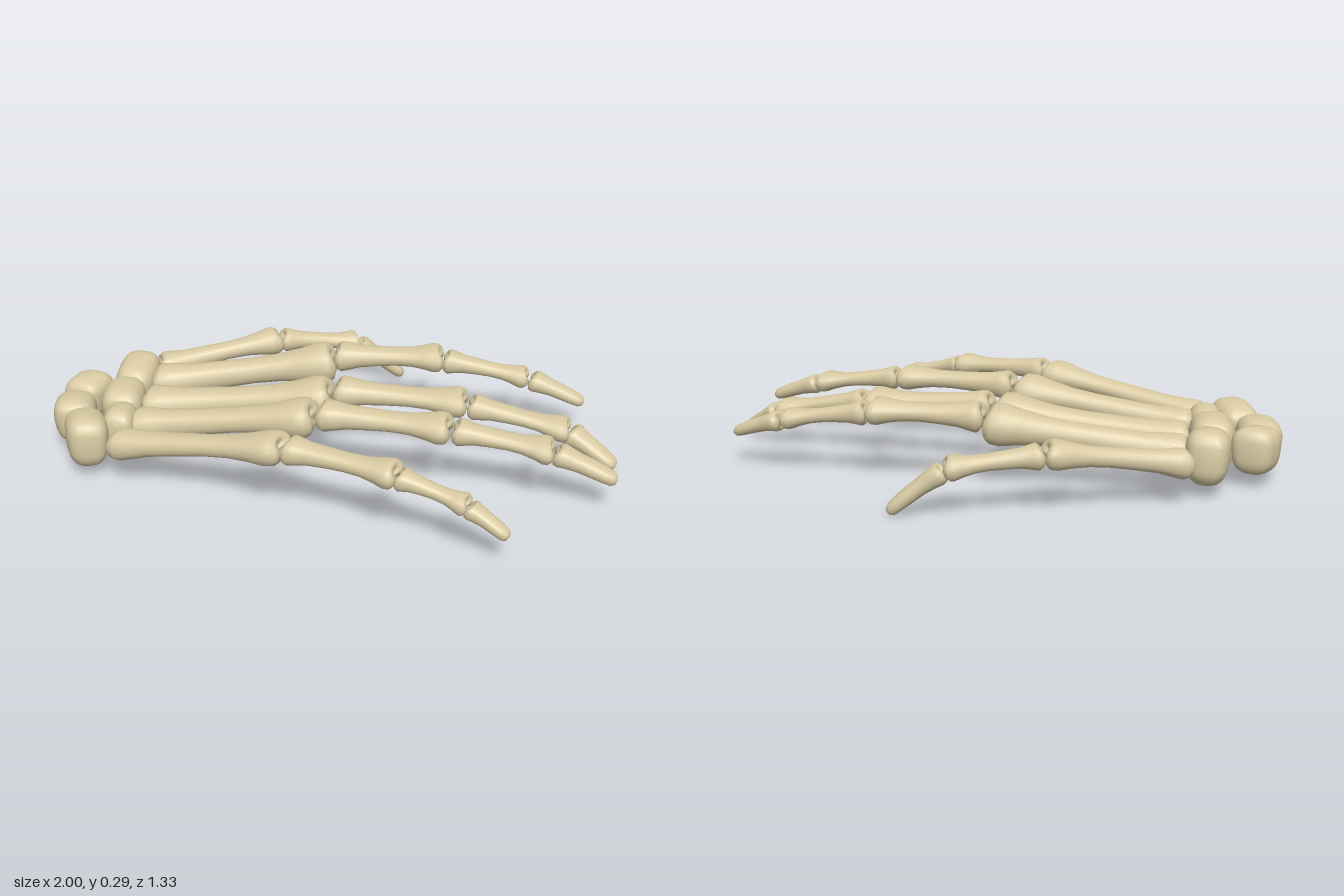
import * as THREE from 'three';

const bone = new THREE.MeshStandardMaterial({ color: 0xd9cba3, roughness: 0.8 });
const SIDES = 18;

// [position along bone, share of base width, share of head width, flatness pull of the notch]
const LONG = [
  [0.035, 0, 0, 1], [0.0, 0.62, 0, 1], [0.012, 0.88, 0, 0.8], [0.05, 1, 0, 0.3], [0.11, 0.93, 0, 0],
  [0.22, 0.7, 0.06, 0], [0.38, 0.42, 0.27, 0], [0.55, 0.22, 0.42, 0], [0.7, 0.08, 0.6, 0], [0.82, 0, 0.83, 0],
  [0.91, 0, 1, 0], [0.965, 0, 0.97, -0.4], [0.992, 0, 0.83, -0.8], [1.0, 0, 0.55, -1], [0.965, 0, 0, -1],
];
const TIP = [
  [0.04, 0, 0, 0.6], [0.0, 0.62, 0, 0.6], [0.03, 0.92, 0, 0.4], [0.1, 1, 0, 0], [0.22, 0.88, 0, 0],
  [0.4, 0.5, 0.4, 0], [0.6, 0.2, 0.8, 0], [0.8, 0, 1, 0], [0.92, 0, 0.88, 0], [0.98, 0, 0.55, 0], [1, 0, 0, 0],
];

// Lofts elliptical sections from a to b; the ends are notched between two condyles
function makeBone(name, profile, a, b, baseW, headW, baseH, headH, bow = 0.004) {
  const p0 = new THREE.Vector3(...a), p1 = new THREE.Vector3(...b);
  const dir = p1.clone().sub(p0), len = dir.length();
  dir.normalize();
  const side = new THREE.Vector3(0, 1, 0).cross(dir).normalize();
  const up = dir.clone().cross(side);
  const pos = [], index = [];
  profile.forEach(([t, kb, kh, notch], i) => {
    const w = kb * baseW + kh * headW, h = kb * baseH + kh * headH;
    for (let j = 0; j < SIDES; j++) {
      const q = (j / SIDES) * Math.PI * 2, c = Math.cos(q), s = Math.sin(q);
      const shift = notch * 0.014 * (1 - 1.3 * c * c);
      const v = p0.clone().addScaledVector(dir, t * len + shift)
        .addScaledVector(side, w * Math.sign(c) * Math.abs(c) ** 0.85)
        .addScaledVector(up, h * Math.sign(s) * Math.abs(s) ** 0.85 + bow * Math.sin(Math.PI * t));
      pos.push(v.x, v.y, v.z);
      if (i) {
        const k = (j + 1) % SIDES, lo = (i - 1) * SIDES, hi = i * SIDES;
        index.push(lo + j, lo + k, hi + j, lo + k, hi + k, hi + j);
      }
    }
  });
  const g = new THREE.BufferGeometry();
  g.setAttribute('position', new THREE.Float32BufferAttribute(pos, 3));
  g.setIndex(index);
  g.computeVertexNormals();
  const m = new THREE.Mesh(g, bone);
  m.name = name;
  return m;
}

// Blocky pebble: a sphere squared off, with a tapered underside and a slight skew
function makeCarpal(name, [x, y, z], [hx, hy, hz], turn, tilt, skew) {
  const g = new THREE.SphereGeometry(1, 20, 14);
  const p = g.attributes.position;
  const sq = (v) => Math.sign(v) * Math.abs(v) ** 0.62;
  for (let i = 0; i < p.count; i++) {
    const X = sq(p.getX(i)), Y = sq(p.getY(i)), Z = sq(p.getZ(i));
    const taper = 0.92 + 0.08 * Y;
    p.setXYZ(i, hx * (X * taper + skew * Z), hy * Y * (1 - 0.12 * X * X), hz * Z * taper);
  }
  g.computeVertexNormals();
  const m = new THREE.Mesh(g, bone);
  m.name = name;
  m.position.set(x, y, z);
  m.rotation.set(tilt, turn, 0);
  return m;
}

// Every bone: start, end, half widths at base and head, half heights at base and head
const DIGITS = {
  thumb: [
    [[-0.73, 0.155, -0.26], [-0.3, 0.215, -0.475], 0.058, 0.066, 0.05, 0.048],
    [[-0.3, 0.21, -0.48], [-0.01, 0.175, -0.595], 0.055, 0.055, 0.042, 0.04],
    [[-0.01, 0.17, -0.592], [0.165, 0.03, -0.635], 0.05, 0.036, 0.036, 0.024],
  ],
  indexFinger: [
    [[-0.71, 0.145, -0.135], [-0.04, 0.24, -0.255], 0.075, 0.09, 0.068, 0.07],
    [[-0.04, 0.258, -0.262], [0.355, 0.265, -0.305], 0.064, 0.076, 0.052, 0.046],
    [[0.36, 0.255, -0.305], [0.67, 0.21, -0.307], 0.052, 0.056, 0.042, 0.036],
    [[0.68, 0.205, -0.308], [0.88, 0.14, -0.28], 0.05, 0.033, 0.036, 0.022],
  ],
  middleFinger: [
    [[-0.69, 0.14, 0.04], [-0.005, 0.215, -0.01], 0.08, 0.093, 0.07, 0.07],
    [[0.005, 0.235, -0.018], [0.47, 0.225, -0.03], 0.066, 0.078, 0.052, 0.046],
    [[0.48, 0.22, -0.022], [0.83, 0.16, -0.012], 0.056, 0.066, 0.043, 0.038],
    [[0.83, 0.155, -0.012], [0.995, 0.065, 0.048], 0.052, 0.035, 0.038, 0.024],
  ],
  ringFinger: [
    [[-0.68, 0.145, 0.208], [-0.022, 0.245, 0.213], 0.066, 0.086, 0.062, 0.062],
    [[-0.01, 0.255, 0.21], [0.44, 0.255, 0.233], 0.062, 0.076, 0.052, 0.046],
    [[0.45, 0.25, 0.233], [0.78, 0.21, 0.242], 0.055, 0.07, 0.043, 0.038],
    [[0.785, 0.205, 0.24], [0.992, 0.135, 0.268], 0.05, 0.034, 0.037, 0.024],
  ],
  littleFinger: [
    [[-0.695, 0.15, 0.355], [-0.07, 0.257, 0.468], 0.064, 0.078, 0.052, 0.05],
    [[-0.065, 0.26, 0.475], [0.31, 0.245, 0.552], 0.058, 0.064, 0.046, 0.042],
    [[0.31, 0.24, 0.555], [0.535, 0.19, 0.603], 0.045, 0.046, 0.037, 0.032],
    [[0.535, 0.186, 0.605], [0.665, 0.118, 0.645], 0.038, 0.027, 0.03, 0.02],
  ],
};

// Wrist bones: centre, half sizes, turn, tilt, skew
const CARPALS = [
  ['trapeziumBone', [-0.77, 0.15, -0.137], [0.08, 0.095, 0.113], 0.03, 0.15, 0.04],
  ['capitateBone', [-0.757, 0.14, 0.068], [0.082, 0.1, 0.108], 0.12, 0, 0.08],
  ['hamateBone', [-0.715, 0.14, 0.227], [0.062, 0.088, 0.088], 0.1, -0.1, 0.1],
  ['scaphoidBone', [-0.915, 0.145, -0.002], [0.08, 0.082, 0.08], -0.15, 0.1, -0.1],
  ['lunateBone', [-0.91, 0.135, 0.157], [0.08, 0.083, 0.09], 0.2, -0.05, 0.08],
  ['triquetralBone', [-0.81, 0.14, 0.31], [0.078, 0.092, 0.108], 0.4, -0.12, 0.08],
];

export function createModel() {
  const hand = new THREE.Group();
  hand.name = 'handSkeleton';

  // Wrist
  const wrist = new THREE.Group();
  wrist.name = 'wrist';
  CARPALS.forEach((c) => wrist.add(makeCarpal(...c)));
  hand.add(wrist);

  // Digits: a metacarpal, then phalanges ending in a tapered tip
  for (const [name, bones] of Object.entries(DIGITS)) {
    const digit = new THREE.Group();
    digit.name = name;
    bones.forEach((b, i) => {
      const last = i === bones.length - 1;
      const part = i === 0 ? 'Metacarpal' : last ? 'TipPhalanx' : i === 1 ? 'ProximalPhalanx' : 'MiddlePhalanx';
      digit.add(makeBone(name + part, last ? TIP : LONG, ...b));
    });
    hand.add(digit);
  }
  return hand;
}
